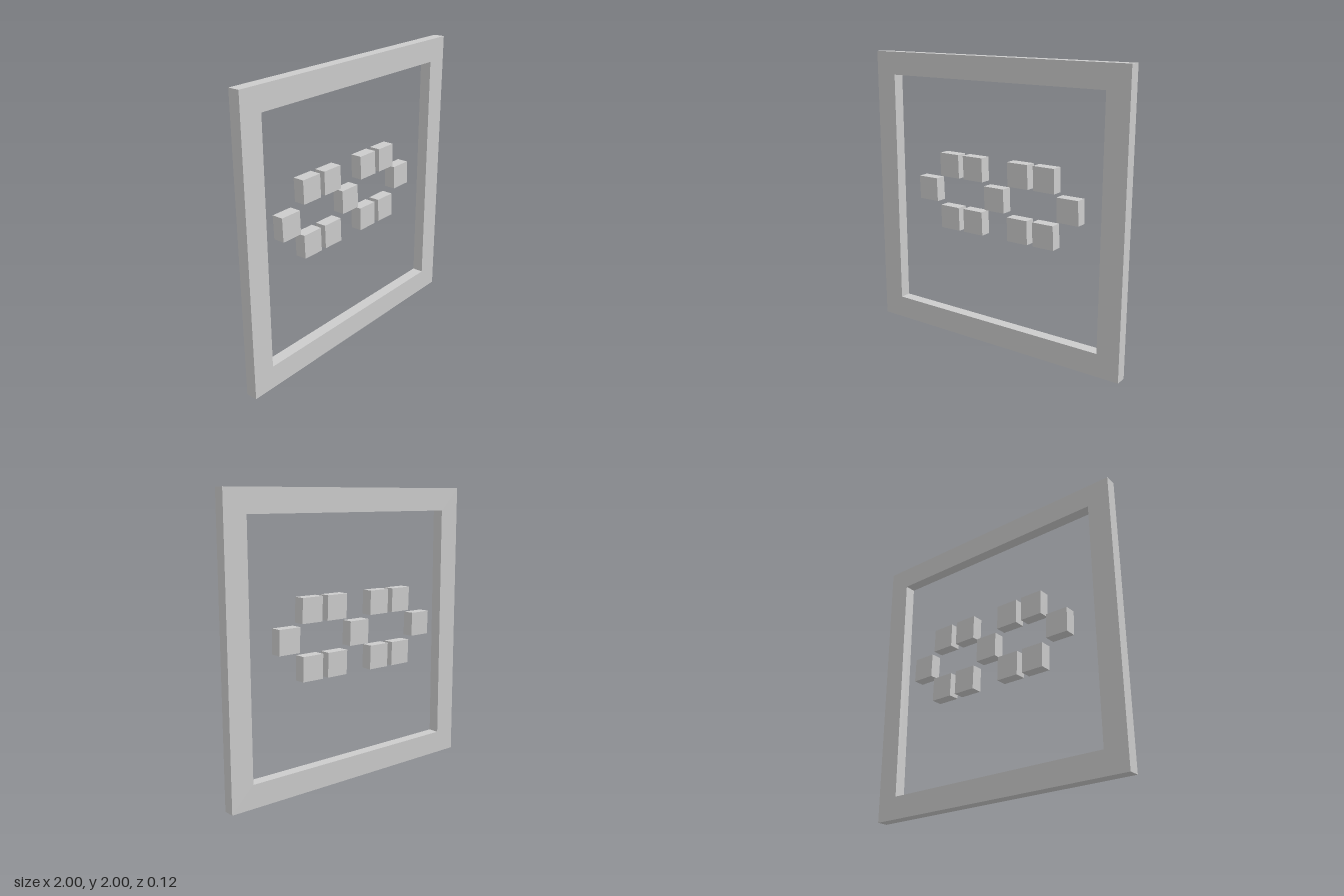
import * as THREE from 'three';

const material = new THREE.MeshStandardMaterial({ color: 0xcccccc, flatShading: true });
const DEPTH = 0.08;

// Straight extrusion of a shape, its back face at z = back
function slab(name, shape, back) {
  const geometry = new THREE.ExtrudeGeometry(shape, { depth: DEPTH, bevelEnabled: false });
  const mesh = new THREE.Mesh(geometry, material);
  mesh.name = name;
  mesh.position.z = back;
  return mesh;
}

const polygon = (points) => points.map(([x, y]) => new THREE.Vector2(x, y));

export function createModel() {
  const model = new THREE.Group();
  model.name = 'framedTiles';

  // Square frame with a square opening
  const outline = new THREE.Shape(polygon([[-1, 0], [1, 0], [1, 2], [-1, 2]]));
  outline.holes.push(new THREE.Path(polygon([[-0.84, 0.16], [-0.84, 1.84], [0.84, 1.84], [0.84, 0.16]])));
  model.add(slab('frame', outline, -0.018));

  // Slightly leaning tile, shared by all positions
  const w = 0.08, h = 0.083, lean = 0.003;
  const tileShape = new THREE.Shape(polygon([
    [-w + lean, -h], [w + lean, -h], [w - lean, h], [-w - lean, h],
  ]));

  // Two rows of four, plus three tiles along the middle
  const positions = [[-0.582, 1.041], [-0.005, 1.041], [0.573, 1.049]];
  for (const y of [0.853, 1.232])
    for (const x of [-0.386, -0.185, 0.186, 0.39]) positions.push([x, y]);

  const tiles = new THREE.Group();
  tiles.name = 'tiles';
  positions.forEach(([x, y], i) => {
    const tile = slab(`tile${i + 1}`, tileShape, -0.062);
    tile.position.x = x;
    tile.position.y = y;
    tiles.add(tile);
  });
  model.add(tiles);

  return model;
}
